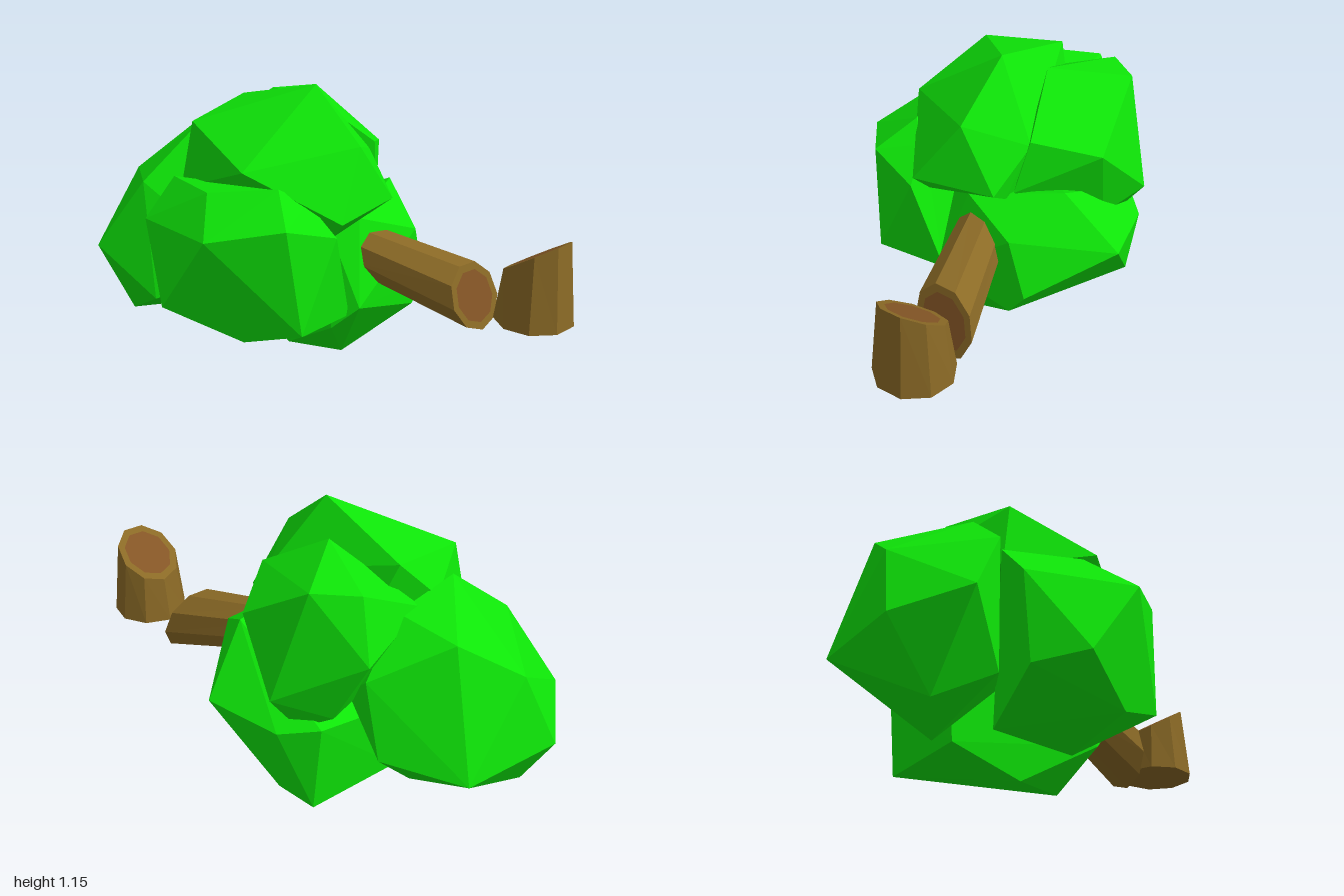
import * as THREE from 'three';
import { ConvexGeometry } from 'three/addons/geometries/ConvexGeometry.js';

const mat = (color) => new THREE.MeshStandardMaterial({ color, flatShading: true });
const V = (x, y, z) => new THREE.Vector3(x, y, z);

// Tapered nine-sided trunk from p0 to p1; the p1 end is cut along a slanted plane
function trunk(name, p0, p1, r0, r1, cutNormal, bark, core) {
  const axis = p1.clone().sub(p0);
  const h = axis.length();
  axis.normalize();
  const turn = new THREE.Quaternion().setFromUnitVectors(V(0, 1, 0), axis);

  const piece = (pieceName, profile, material) => {
    const geo = new THREE.LatheGeometry(profile.map(([r, y]) => new THREE.Vector2(r, y)), 9, Math.PI);
    const pos = geo.attributes.position;
    const v = V(0, 0, 0);
    for (let i = 0; i < pos.count; i++) {
      v.fromBufferAttribute(pos, i);
      const atCut = v.y > h * 0.9;
      v.applyQuaternion(turn).add(p0);
      // slide end vertices along the trunk onto the cut plane
      if (atCut) v.addScaledVector(axis, p1.clone().sub(v).dot(cutNormal) / axis.dot(cutNormal));
      pos.setXYZ(i, v.x, v.y, v.z);
    }
    geo.computeVertexNormals();
    const mesh = new THREE.Mesh(geo, material);
    mesh.name = pieceName;
    return mesh;
  };

  const group = new THREE.Group();
  group.name = name;
  group.add(
    piece('bark', [[0, 0], [r0, 0], [r1 * 1.03, h], [r1 * 0.8, h]], bark),
    piece('heartwood', [[r1 * 0.8, h], [0, h]], core)
  );
  return group;
}

// Corners of each faceted leaf clump
const clumps = {
  backFoliage: [
    [-.37, .065, -.82], [.08, .32, -.985], [.3, .39, -.73], [.3, .69, -.65], [.04, .84, -.84],
    [-.22, .66, -.94], [-.35, .34, -1], [0, .08, -.57], [-.57, .43, -.78], [-.45, .73, -.6],
    [-.2, .93, -.55], [.1, .88, -.58], [-.43, .2, -.58], [-.1, .3, -.36], [.2, .5, -.42],
  ],
  topFoliage: [
    [.04, 1.15, -.08], [.03, .95, .18], [-.3, .99, -.45], [-.37, .875, -.07], [-.15, .69, .26],
    [.2, .7, .2], [.25, .86, .02], [.04, 1.03, -.52], [-.12, .62, .19], [.2, .65, .12],
    [.2, .6, -.4], [-.1, .88, -.58], [-.33, .7, -.5],
  ],
  rightBackFoliage: [
    [.15, 1.06, -.24], [.41, 1.01, -.46], [.26, 1.0, -.58], [.48, .81, -.14],
    [.54, .57, -.39], [.3, .76, -.67], [.42, .41, -.4], [.44, .48, -.24], [.26, .89, .04],
    [.22, .67, .09], [0, .88, -.6], [0, .5, -.4], [.36, .5, -.54],
  ],
  leftFoliage: [
    [-.59, .65, -.05], [-.61, .31, -.3], [-.44, .2, 0], [-.39, .71, .2], [-.35, .275, .24],
    [-.05, .26, .2], [-.12, .12, 0], [-.29, .82, .05], [-.5, .6, -.53], [-.17, .64, .25],
    [-.15, .12, -.4], [-.48, .25, -.48], [-.44, .78, -.2], [-.2, .76, .12], [-.35, .75, -.52],
  ],
  rightFoliage: [
    [.61, .44, -.08], [-.03, 0, -.18], [.05, .015, .06], [.41, .075, -.48], [.49, .15, -.37],
    [.37, .3, .23], [.3, .21, .23], [.4, .69, 0], [.05, .64, .16], [.3, .55, .24],
    [-.04, .3, .25], [-.1, .2, .15], [.52, .42, -.4], [.4, .45, -.52], [0, .4, -.5], [0, .1, -.48],
    [-.06, .6, .1],
  ],
};

export function createModel() {
  const model = new THREE.Group();
  model.name = 'felledTree';
  const bark = mat(0x8b6a26);
  const core = mat(0x855626);
  const leaf = mat(0x0ee608);

  // Stump with sloping top, and the fallen log reaching into the leaves
  model.add(
    trunk('stump', V(.312, .34, .85), V(.312, .608, .85), .158, .124, V(0, 1, -.62), bark, core),
    trunk('log', V(.11, .485, .15), V(.255, .375, .6), .103, .125, V(0, .25, 1), bark, core)
  );

  // Foliage
  for (const [name, corners] of Object.entries(clumps)) {
    const mesh = new THREE.Mesh(new ConvexGeometry(corners.map((c) => V(...c))), leaf);
    mesh.name = name;
    model.add(mesh);
  }
  return model;
}
